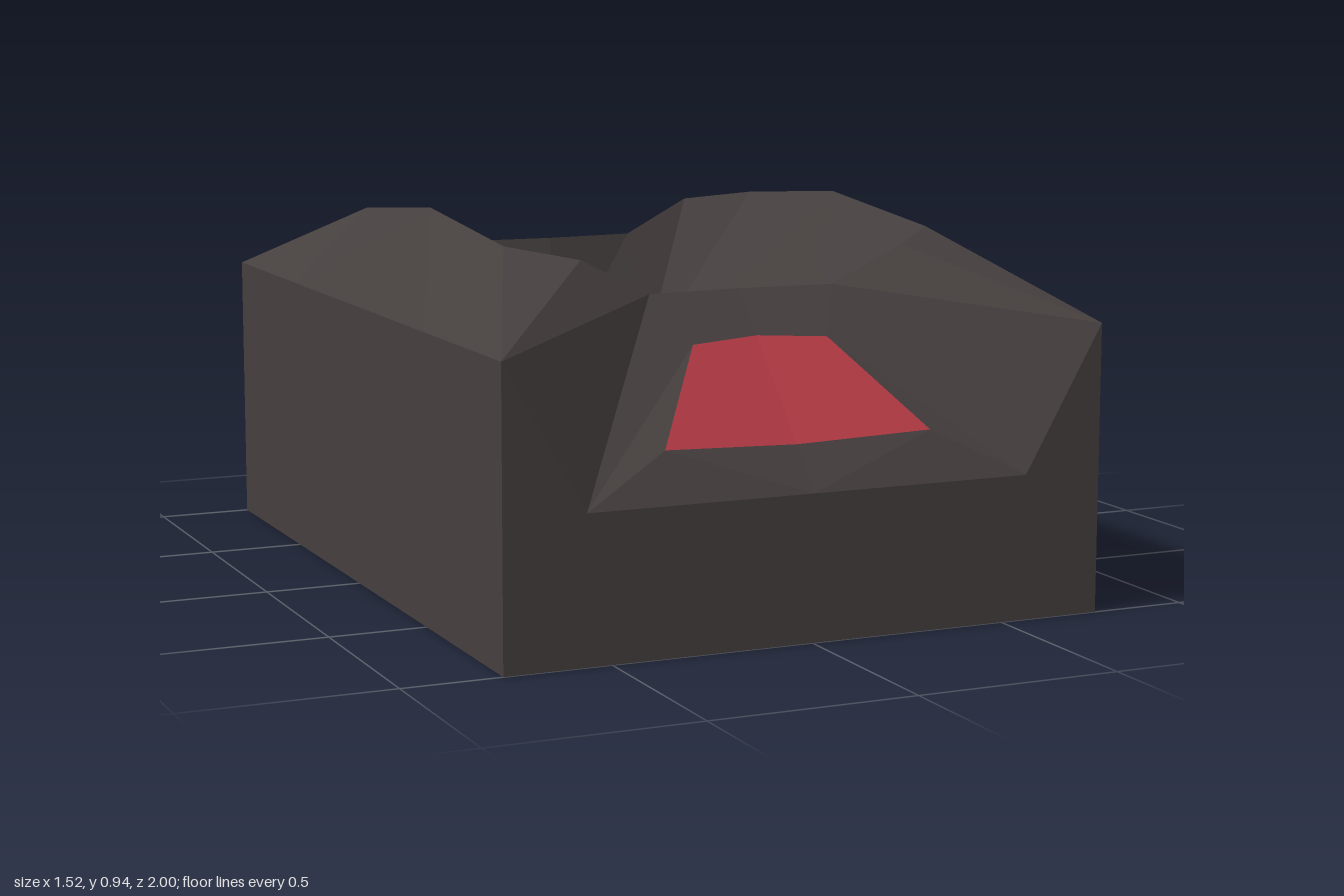
import * as THREE from 'three';

// Corner points of one quarter (x >= 0, z >= 0); the rest is mirrored.
const P = {
  // ground
  centre: [0, 0, 0], sideMid: [0.76, 0, 0], corner: [0.76, 0, 1], frontMid: [0, 0, 1],
  // outer rim
  rimMid: [0.76, 0.70, 0], rimBend: [0.76, 0.70, 0.5], rimCorner: [0.76, 0.70, 1],
  // raised ridge
  peak: [0.56, 0.935, 0], ridge: [0.56, 0.89, 0.5], shoulder: [0.42, 0.865, 0.63],
  saddle: [0.24, 0.775, 0.617], saddleMid: [0, 0.775, 0.6],
  // sunken floor
  floorCentre: [0, 0.437, 0], floorSide: [0.24, 0.437, 0],
  floorCorner: [0.24, 0.437, 0.5], floorEnd: [0, 0.437, 0.53],
  // sloping notch at the end
  lip: [0.56, 0.35, 1], lipMid: [0, 0.35, 1],
  // coloured panel on the slope
  panelLow: [0.34, 0.463, 0.93], panelLowMid: [0, 0.45, 0.915],
  panelHigh: [0.175, 0.665, 0.72], panelHighMid: [0, 0.675, 0.70],
};

// Faces per part, counter-clockwise from outside.
const PARTS = {
  outerWalls: [
    'corner sideMid rimMid rimBend rimCorner',
    'corner rimCorner lip lipMid frontMid',
  ],
  base: ['centre sideMid corner frontMid'],
  rim: ['peak ridge rimBend rimMid', 'ridge shoulder rimCorner rimBend'],
  basin: [
    'peak floorSide floorCorner ridge',
    'floorCentre floorEnd floorCorner floorSide',
    'floorCorner saddle shoulder ridge',
    'floorEnd saddleMid saddle floorCorner',
  ],
  endSlopes: [
    'saddle lip rimCorner shoulder',
    'lipMid lip panelLow panelLowMid',
    'lip saddle panelHigh panelLow',
    'saddle saddleMid panelHighMid panelHigh',
  ],
};
const PANEL = ['panelLowMid panelLow panelHigh panelHighMid'];

// Fans each face into triangles and repeats it for every mirror [sx, sz].
function mirroredGeometry(faces, mirrors) {
  const positions = [];
  for (const [sx, sz] of mirrors) {
    for (const face of faces) {
      const pts = face.split(' ').map((n) => [P[n][0] * sx, P[n][1], P[n][2] * sz]);
      if (sx * sz < 0) pts.reverse();
      // keep the same fan start on both mirrored sides
      if (sx * sz < 0) pts.unshift(pts.pop());
      for (let i = 1; i < pts.length - 1; i++) {
        positions.push(...pts[0], ...pts[i], ...pts[i + 1]);
      }
    }
  }
  const geometry = new THREE.BufferGeometry();
  geometry.setAttribute('position', new THREE.Float32BufferAttribute(positions, 3));
  geometry.computeVertexNormals();
  return geometry;
}

export function createModel() {
  const model = new THREE.Group();
  model.name = 'basinBlock';

  const addPart = (name, faces, mirrors, material) => {
    const mesh = new THREE.Mesh(mirroredGeometry(faces, mirrors), material);
    mesh.name = name;
    model.add(mesh);
  };
  const paint = (color) => new THREE.MeshStandardMaterial({ color, flatShading: true });

  // Dark body, mirrored to all four quarters
  const body = paint(0x453f3e);
  const quarters = [[1, 1], [-1, 1], [1, -1], [-1, -1]];
  for (const [name, faces] of Object.entries(PARTS)) addPart(name, faces, quarters, body);

  // Red panel at the front, green panel at the back
  addPart('frontPanel', PANEL, [[1, 1], [-1, 1]], paint(0xb23a44));
  addPart('backPanel', PANEL, [[1, -1], [-1, -1]], paint(0x1e8a12));

  return model;
}
